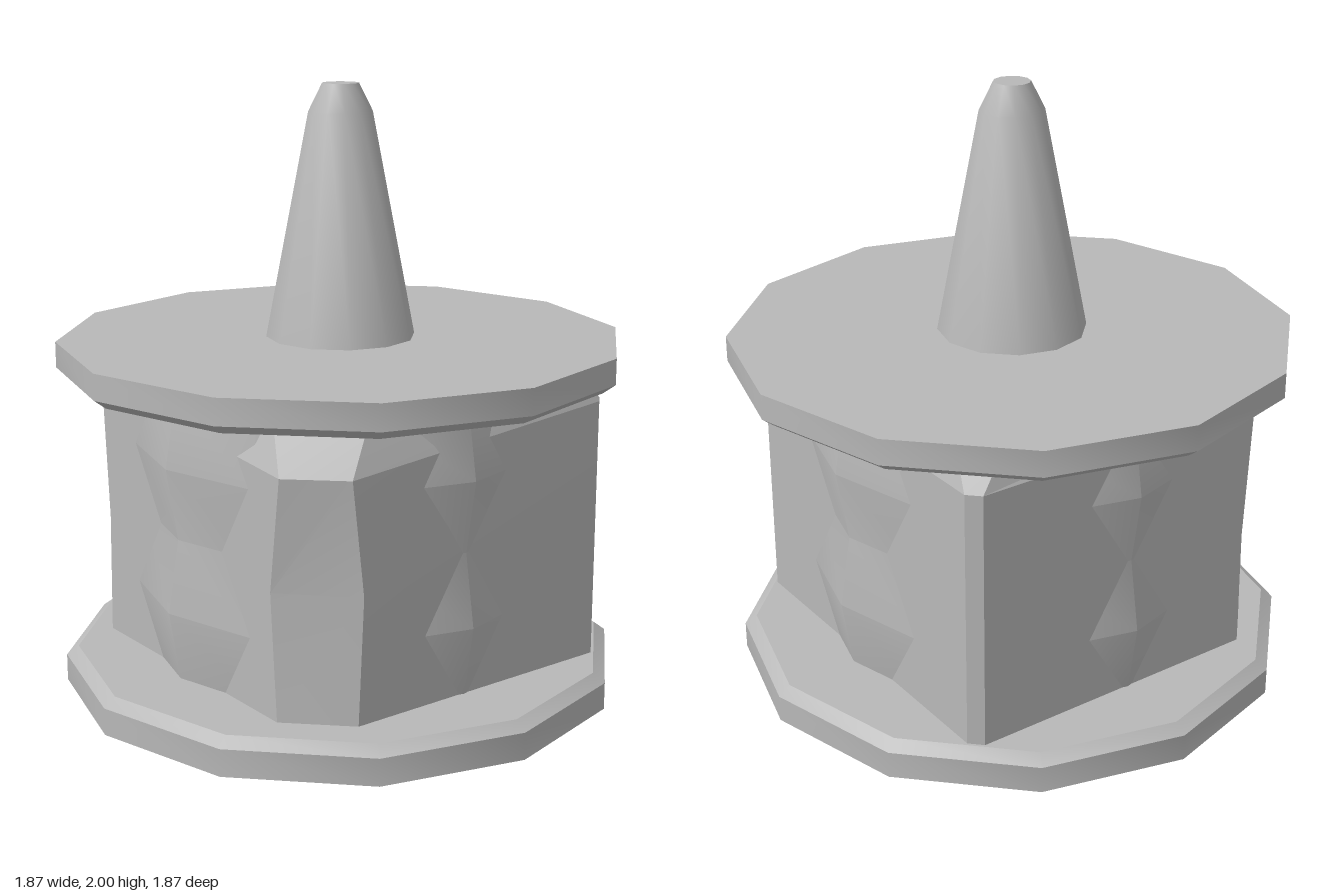
import * as THREE from 'three';
import { toCreasedNormals } from 'three/addons/utils/BufferGeometryUtils.js';

const grey = new THREE.MeshStandardMaterial({ color: 0xb8b8b8 });
grey.name = 'plain grey';

// Twelve-sided turned part from [radius, height] pairs, bottom to top
function turned(name, profile) {
  const points = profile.map(([r, y]) => new THREE.Vector2(r, y));
  const mesh = new THREE.Mesh(toCreasedNormals(new THREE.LatheGeometry(points, 12), 0.6), grey);
  mesh.name = name;
  return mesh;
}

// Skin between stacked loops of [x, y, z] corners
function skin(name, loops) {
  const pos = [];
  for (let k = 0; k < loops.length - 1; k++) {
    const lo = loops[k], hi = loops[k + 1], n = lo.length;
    for (let i = 0; i < n; i++) {
      const j = (i + 1) % n;
      pos.push(...lo[i], ...lo[j], ...hi[j], ...lo[i], ...hi[j], ...hi[i]);
    }
  }
  const geo = new THREE.BufferGeometry();
  geo.setAttribute('position', new THREE.Float32BufferAttribute(pos, 3));
  geo.computeVertexNormals();
  const mesh = new THREE.Mesh(toCreasedNormals(geo, 0.15), grey);
  mesh.name = name;
  return mesh;
}

export function createModel() {
  const group = new THREE.Group();
  group.name = 'spindle';

  // Flanges, bevelled on the sides facing each other
  group.add(turned('lowerFlange', [[0, 0], [0.935, 0], [0.935, 0.09], [0.895, 0.12], [0, 0.12]]));
  group.add(turned('upperFlange', [[0, 1.06], [0.895, 1.06], [0.935, 1.09], [0.935, 1.175], [0, 1.175]]));

  // Tapered handle with a blunt tip
  group.add(turned('handle', [[0.248, 1.17], [0.105, 1.91], [0.06, 2], [0, 2]]));

  // Rippled core that bulges through the block faces
  group.add(turned('core', [[0.65, 0.12], [0.688, 0.35], [0.648, 0.59], [0.688, 0.83], [0.648, 1.06]]));

  // Four-sided block with unevenly cut corners
  const back = [[0.645, -0.565], [0.605, -0.605], [-0.605, -0.605], [-0.645, -0.565]];
  const level = (y, right, left) =>
    [...right, ...back, ...left].map(([x, z]) => [x, y, z]);
  const base = level(0.12, [[0.47, 0.6], [0.645, 0.42]], [[-0.645, 0.48], [-0.52, 0.6]]);
  const middle = level(0.53, [[0.44, 0.6], [0.645, 0.4]], [[-0.645, 0.475], [-0.51, 0.6]]);
  const shoulder = level(0.99, [[0.49, 0.6], [0.64, 0.44]], [[-0.645, 0.5], [-0.54, 0.6]]);
  shoulder[0][1] = shoulder[1][1] = 0.9;
  const top = [
    [0.36, 0.53], [0.58, 0.33], [0.62, -0.5], [0.54, -0.58],
    [-0.54, -0.58], [-0.62, -0.5], [-0.6, 0.44], [-0.46, 0.55],
  ].map(([x, z]) => [x, 1.06, z]);
  group.add(skin('block', [base, middle, shoulder, top]));

  return group;
}
